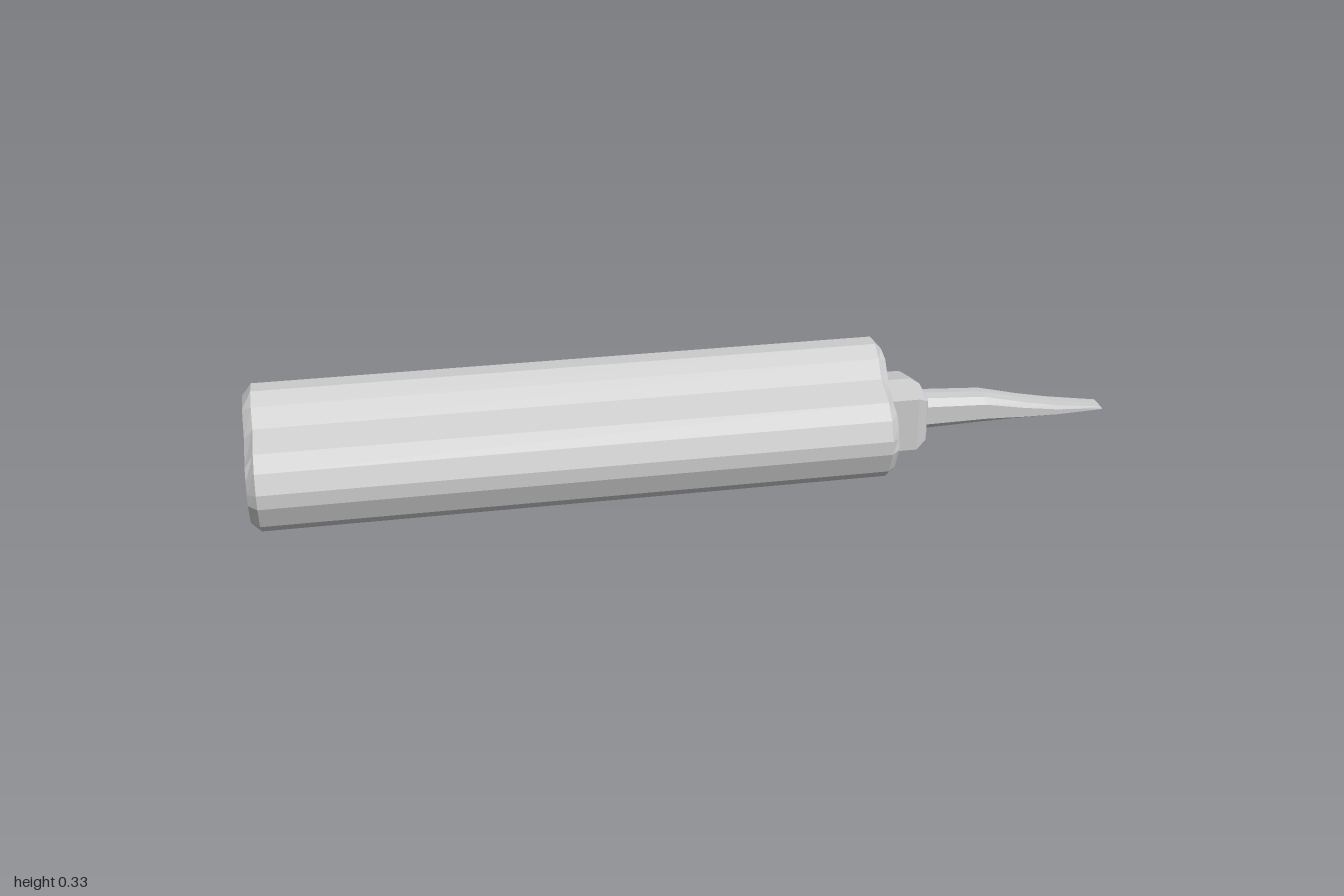
import * as THREE from 'three';

const material = new THREE.MeshStandardMaterial({ color: 0xcccccc, flatShading: true });

// Mirrors a half outline [z, y] (bottom to top, z >= 0) into a closed loop
function mirrored(half) {
  const other = half.filter(([z]) => z > 0).reverse().map(([z, y]) => [-z, y]);
  return [...half, ...other];
}

// Skins sections { x, half } along x and closes both ends with a fan
function loft(name, sections) {
  const pos = [];
  const rings = sections.map(({ x, half }) => mirrored(half).map(([z, y]) => [x, y, z]));
  const n = rings[0].length;
  const tri = (a, b, c) => pos.push(...a, ...b, ...c);
  for (let i = 0; i < rings.length - 1; i++) {
    const a = rings[i], b = rings[i + 1];
    for (let j = 0; j < n; j++) {
      const k = (j + 1) % n;
      tri(a[j], b[j], b[k]);
      tri(a[j], b[k], a[k]);
    }
  }
  const cap = (ring, facesPlusX) => {
    const c = [0, 1, 2].map(d => ring.reduce((s, p) => s + p[d], 0) / n);
    for (let j = 0; j < n; j++) {
      const k = (j + 1) % n;
      if (facesPlusX) tri(c, ring[k], ring[j]);
      else tri(c, ring[j], ring[k]);
    }
  };
  cap(rings[0], false);
  cap(rings[rings.length - 1], true);
  const geometry = new THREE.BufferGeometry();
  geometry.setAttribute('position', new THREE.Float32BufferAttribute(pos, 3));
  geometry.computeVertexNormals();
  const mesh = new THREE.Mesh(geometry, material);
  mesh.name = name;
  return mesh;
}

export function createModel() {
  const group = new THREE.Group();
  group.name = 'carvingTool';

  // Long grip with a ridge on top and chamfered ends
  const grip = [[0, 0.003], [0.084, 0.023], [0.15, 0.058], [0.18, 0.085], [0.2, 0.137], [0.2, 0.17],
    [0.182, 0.213], [0.149, 0.244], [0.084, 0.273], [0.056, 0.312], [0.022, 0.335]];
  const gripEnd = [[0, 0.025], [0.084, 0.045], [0.14, 0.074], [0.158, 0.085], [0.183, 0.14], [0.178, 0.165],
    [0.17, 0.19], [0.152, 0.215], [0.084, 0.25], [0.043, 0.303], [0.006, 0.314]];
  group.add(loft('handle', [
    { x: -1, half: gripEnd },
    { x: -0.98, half: grip },
    { x: 0.425, half: grip },
    { x: 0.445, half: gripEnd },
  ]));

  // Six-sided collar with a chamfered, slightly recessed nose
  const hex = (w, y0, y1, y2, y3) => [[0, y0], [w, y1], [w, y2], [0, y3]];
  group.add(loft('collar', [
    { x: 0.43, half: hex(0.083, 0.072, 0.084, 0.213, 0.23) },
    { x: 0.52, half: hex(0.083, 0.072, 0.084, 0.213, 0.23) },
    { x: 0.545, half: hex(0.068, 0.087, 0.1, 0.2, 0.215) },
    { x: 0.55, half: hex(0.057, 0.092, 0.105, 0.195, 0.206) },
  ]));

  // Blade: faceted shank sloping down into a thin flat tip
  const blade = (x, w, bottom, top) => {
    const h = top - bottom;
    return { x, half: [[0, bottom], [w * 0.62, bottom + h * 0.06], [w, bottom + h * 0.25],
      [w, bottom + h * 0.77], [w * 0.65, top - h * 0.03], [0, top]] };
  };
  group.add(loft('blade', [
    blade(0.54, 0.041, 0.104, 0.191),
    blade(0.7, 0.041, 0.11, 0.181),
    blade(0.8, 0.04, 0.113, 0.157),
    blade(0.88, 0.038, 0.116, 0.141),
    blade(1, 0.026, 0.119, 0.123),
  ]));

  return group;
}
